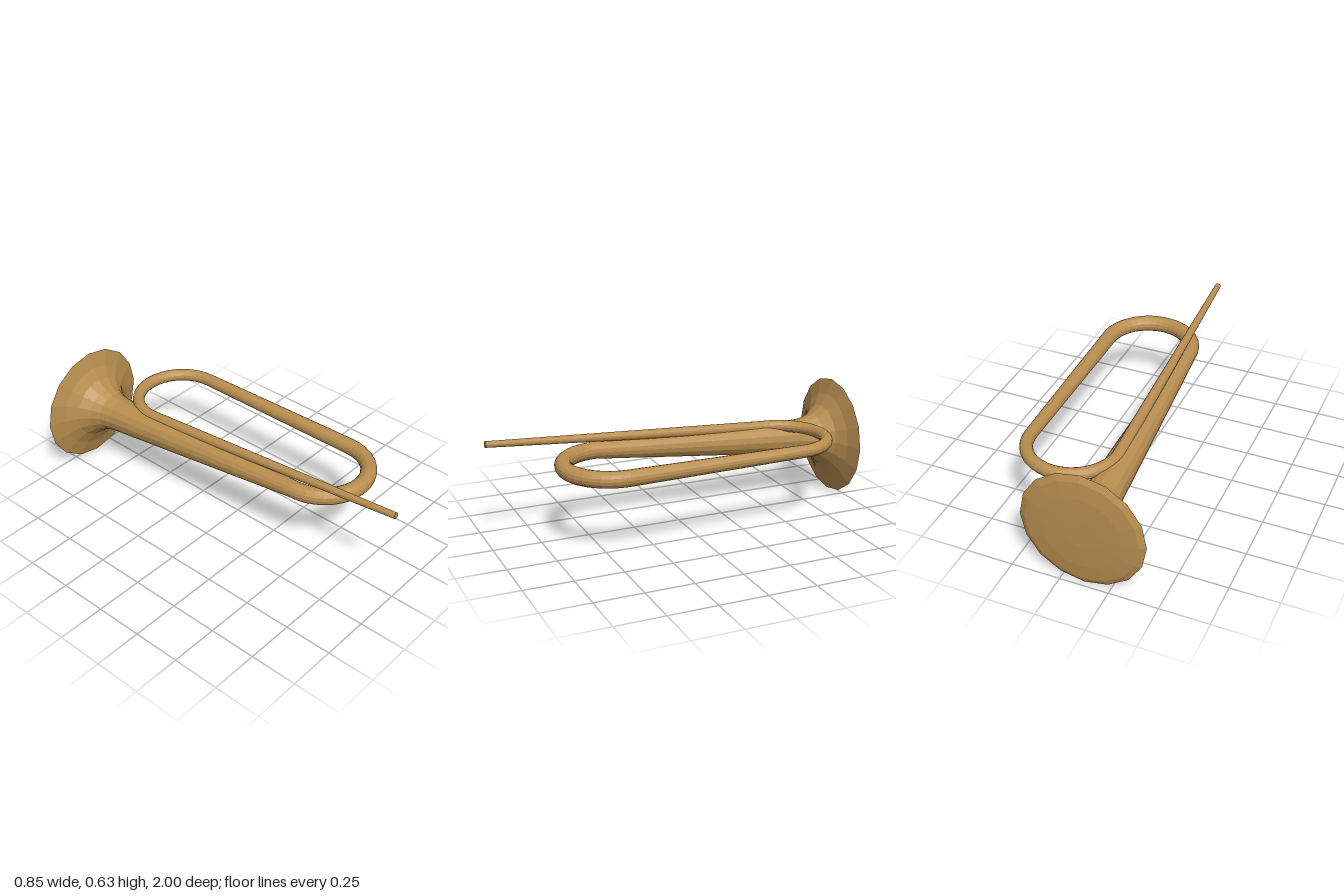
import * as THREE from 'three';

const SIDES = 16;

// Faceted pipe through stations [x, y, z, radius]; tangentAt gives each ring's facing
function sweep(stations, tangentAt, capStart, capEnd) {
  const up = new THREE.Vector3(0, 1, 0);
  const pos = [], index = [];
  stations.forEach(([x, y, z, r], i) => {
    const t = tangentAt(i);
    const side = new THREE.Vector3().crossVectors(up, t).normalize();
    const lift = new THREE.Vector3().crossVectors(t, side);
    for (let j = 0; j < SIDES; j++) {
      const a = (j / SIDES) * Math.PI * 2;
      const p = new THREE.Vector3(x, y, z)
        .addScaledVector(side, r * Math.cos(a))
        .addScaledVector(lift, r * Math.sin(a));
      pos.push(p.x, p.y, p.z);
    }
  });
  const last = stations.length - 1;
  for (let i = 0; i < last; i++) {
    for (let j = 0; j < SIDES; j++) {
      const k = (j + 1) % SIDES;
      const a = i * SIDES + j, b = i * SIDES + k;
      index.push(a, b, b + SIDES, a, b + SIDES, a + SIDES);
    }
  }
  const cap = (ring, flip) => {
    const c = pos.length / 3;
    pos.push(...stations[ring].slice(0, 3));
    for (let j = 0; j < SIDES; j++) {
      const a = ring * SIDES + j, b = ring * SIDES + ((j + 1) % SIDES);
      index.push(c, flip ? b : a, flip ? a : b);
    }
  };
  if (capStart) cap(0, true);
  if (capEnd) cap(last, false);
  const indexed = new THREE.BufferGeometry();
  indexed.setAttribute('position', new THREE.Float32BufferAttribute(pos, 3));
  indexed.setIndex(index);
  const geometry = indexed.toNonIndexed();
  geometry.computeVertexNormals();
  return geometry;
}

// Half-circle bend in the horizontal plane, from angle a0 to a1
function bend(cx, cz, radius, a0, a1, r0, r1) {
  const steps = 18, out = [];
  for (let i = 0; i <= steps; i++) {
    const f = i / steps, a = a0 + (a1 - a0) * f;
    out.push([cx + radius * Math.cos(a), 0.42, cz + radius * Math.sin(a), r0 + (r1 - r0) * f]);
  }
  return out;
}

export function createModel() {
  const group = new THREE.Group();
  const brass = new THREE.MeshStandardMaterial({ color: 0xb88e50 });
  brass.name = 'brass';
  const add = (name, geometry) => {
    const mesh = new THREE.Mesh(geometry, brass);
    mesh.name = name;
    group.add(mesh);
  };

  // Coiled tubing, slowly widening from the mouth end
  const backBend = bend(0.135, -0.53, 0.23, Math.PI, Math.PI * 2, 0.031, 0.033);
  const frontBend = bend(0.15, 0.43, 0.232, 0, Math.PI, 0.041, 0.044);
  const path = [[-0.041, 0.537, 1, 0.016], ...backBend, ...frontBend];
  const point = i => new THREE.Vector3(...path[i].slice(0, 3));
  const tangent = i => point(Math.min(i + 1, path.length - 1))
    .sub(point(Math.max(i - 1, 0))).normalize();
  // Straight pipes keep their own direction at the bend ends
  const bendEnd = backBend.length;
  const ringTangent = i => {
    if (i <= 1) return point(1).sub(point(0)).normalize();
    if (i === bendEnd || i === bendEnd + 1) return point(bendEnd + 1).sub(point(bendEnd)).normalize();
    if (i === path.length - 1) return new THREE.Vector3(0, 0, -1);
    return tangent(i);
  };
  const section = (name, from, to, capped) =>
    add(name, sweep(path.slice(from, to + 1), i => ringTangent(i + from), capped, false));
  section('mouthPipe', 0, 1, true);
  section('backBend', 1, bendEnd, false);
  section('outerPipe', bendEnd, bendEnd + 1, false);
  section('frontBend', bendEnd + 1, path.length - 1, false);

  // Conical bell pipe and flare: [z, radius], on an axis that drops toward the back
  const axis = (z, r) => {
    const f = (0.43 - z) / 1.405;
    return [-0.082 - 0.033 * f, 0.42 - 0.103 * f, z, r];
  };
  const back = () => new THREE.Vector3(0, 0, -1);
  const flare = [[-0.75, 0.093], [-0.81, 0.103], [-0.86, 0.127], [-0.91, 0.17], [-0.945, 0.233], [-0.972, 0.316]];
  add('bellPipe', sweep([axis(0.43, 0.044), axis(-0.75, 0.093)], back, false, false));
  add('bellFlare', sweep(flare.map(([z, r]) => axis(z, r)), back, false, false));

  // Shallow domed face closing the bell
  const face = [[-0.972, 0.316], [-0.987, 0.285], [-0.996, 0.2], [-1, 0.08]];
  add('bellFace', sweep(face.map(([z, r]) => axis(z, r)), back, false, true));

  return group;
}
